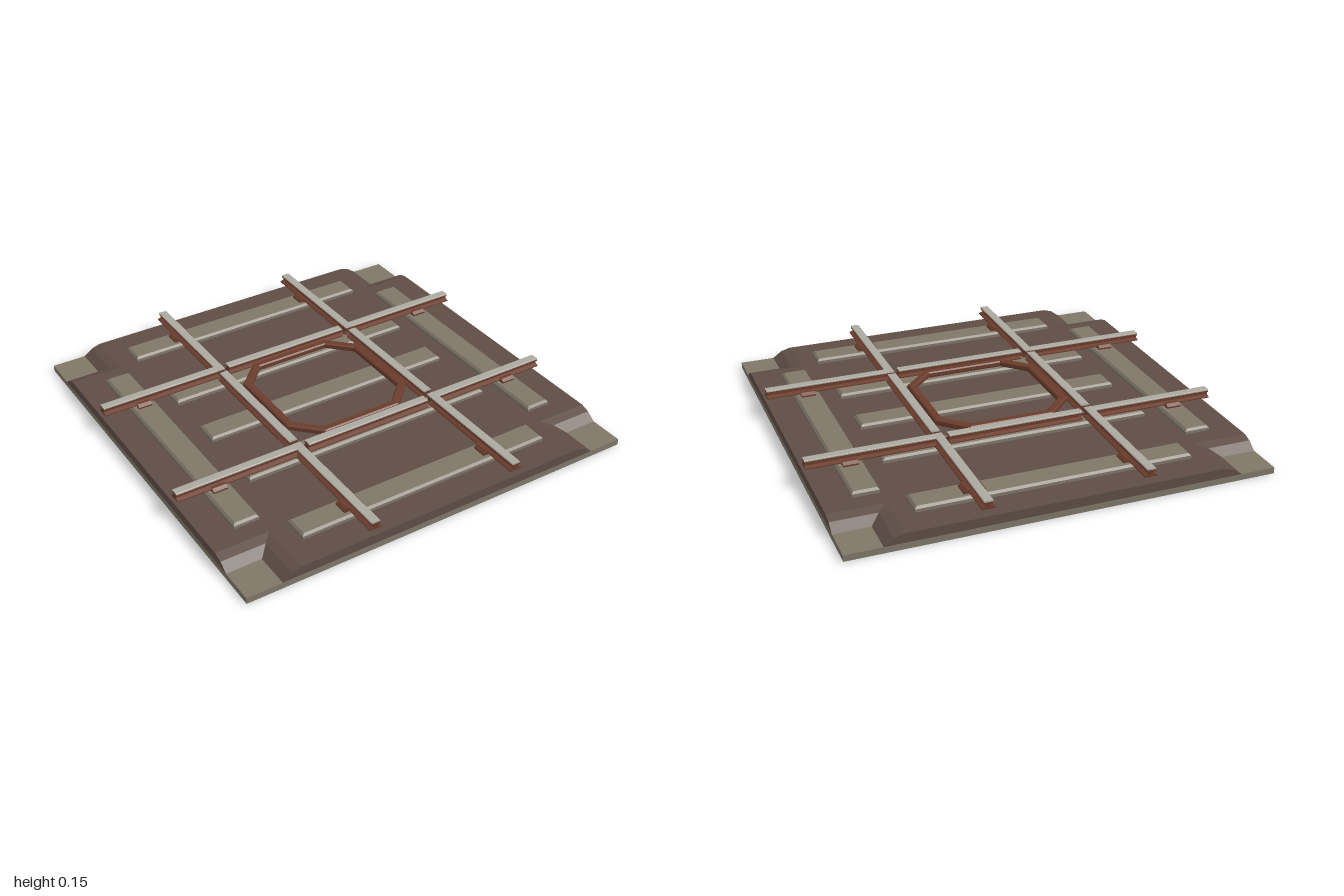
import * as THREE from 'three';

const mat = (name, color) => {
  const m = new THREE.MeshStandardMaterial({ color });
  m.name = name;
  return m;
};

const shapeOf = pts => new THREE.Shape(pts.map(p => new THREE.Vector2(...p)));

// Mirror a half profile (x >= 0, listed bottom to top) into a closed outline
const mirrored = half => shapeOf([...half, ...half.slice().reverse().map(([x, y]) => [-x, y])]);

// Extrude an outline along z, centred on the origin
function run(shape, length) {
  const g = new THREE.ExtrudeGeometry(shape, { depth: length, bevelEnabled: false });
  return g.translate(0, 0, -length / 2);
}

// Extrude a plan outline upwards between two heights with a chamfer
function raised(shape, y0, y1, bevel) {
  const g = new THREE.ExtrudeGeometry(shape, {
    depth: y1 - y0 - 2 * bevel, bevelEnabled: true, bevelSegments: 1,
    bevelSize: bevel, bevelThickness: bevel, bevelOffset: -bevel,
  });
  return g.rotateX(-Math.PI / 2).translate(0, y0 + bevel, 0);
}

const octagon = (r, flat) => [
  [r, -flat], [r, flat], [flat, r], [-flat, r],
  [-r, flat], [-r, -flat], [-flat, -r], [flat, -r],
];

export function createModel() {
  const model = new THREE.Group();
  model.name = 'railCrossingTile';
  const concrete = mat('concrete', 0x7f7768);
  const ballast = mat('ballast', 0x5e4d45);
  const rust = mat('rust', 0x6b3c2c);
  const steel = mat('steel', 0xaba89f);

  const add = (name, geo, material, parent = model, x = 0, y = 0, z = 0) => {
    const m = new THREE.Mesh(geo, material);
    m.name = name;
    m.position.set(x, y, z);
    parent.add(m);
    return m;
  };

  // Base slab
  add('baseSlab', new THREE.BoxGeometry(2, 0.03, 2), concrete, model, 0, 0.015, 0);

  // Profiles shared by both track directions
  const bed = run(mirrored([[0.83, 0.03], [0.785, 0.062], [0.74, 0.075]]), 2);
  const railBody = mirrored([
    [0.03, 0.11], [0.03, 0.115], [0.011, 0.122], [0.011, 0.131], [0.02, 0.135], [0.02, 0.143],
  ]);
  const railHead = mirrored([[0.021, 0.143], [0.021, 0.148], [0.018, 0.15]]);
  const plate = run(mirrored([[0.05, 0.098], [0.05, 0.108], [0.035, 0.119]]), 0.07);
  const sleeper = raised(shapeOf([[-0.65, -0.062], [0.65, -0.062], [0.65, 0.062], [-0.65, 0.062]]), 0.05, 0.1, 0.01);

  // Rail pieces as [centre, length]: two outer and one between the crossings
  const pieces = [[-0.6775, 0.645], [0, 0.66], [0.6775, 0.645]].map(([z, length]) => ({
    z, body: run(railBody, length), head: run(railHead, length),
  }));

  // One track along z, and the same turned to run along x
  for (const [name, turn, rows] of [
    ['lengthwiseTrack', 0, [-0.8, -0.35, 0, 0.35, 0.8]],
    ['crosswiseTrack', Math.PI / 2, [-0.8, 0.8]],
  ]) {
    const track = new THREE.Group();
    track.name = name;
    track.rotation.y = turn;
    model.add(track);
    add('ballastBed', bed, ballast, track);
    for (const z of rows) add('sleeper', sleeper, concrete, track, 0, 0, z);
    for (const x of [-0.375, 0.375]) {
      for (const p of pieces) {
        add('railBody', p.body, rust, track, x, 0, p.z);
        add('railHead', p.head, steel, track, x, 0, p.z);
      }
      for (const z of [-0.8, 0.8]) add('railPlate', plate, rust, track, x, 0, z);
    }
  }

  // Eight-sided guard ring between the crossings
  const ring = shapeOf(octagon(0.335, 0.205));
  ring.holes.push(new THREE.Path(octagon(0.295, 0.19).reverse().map(p => new THREE.Vector2(...p))));
  add('guardRing', raised(ring, 0.11, 0.14, 0.006), rust);

  return model;
}
